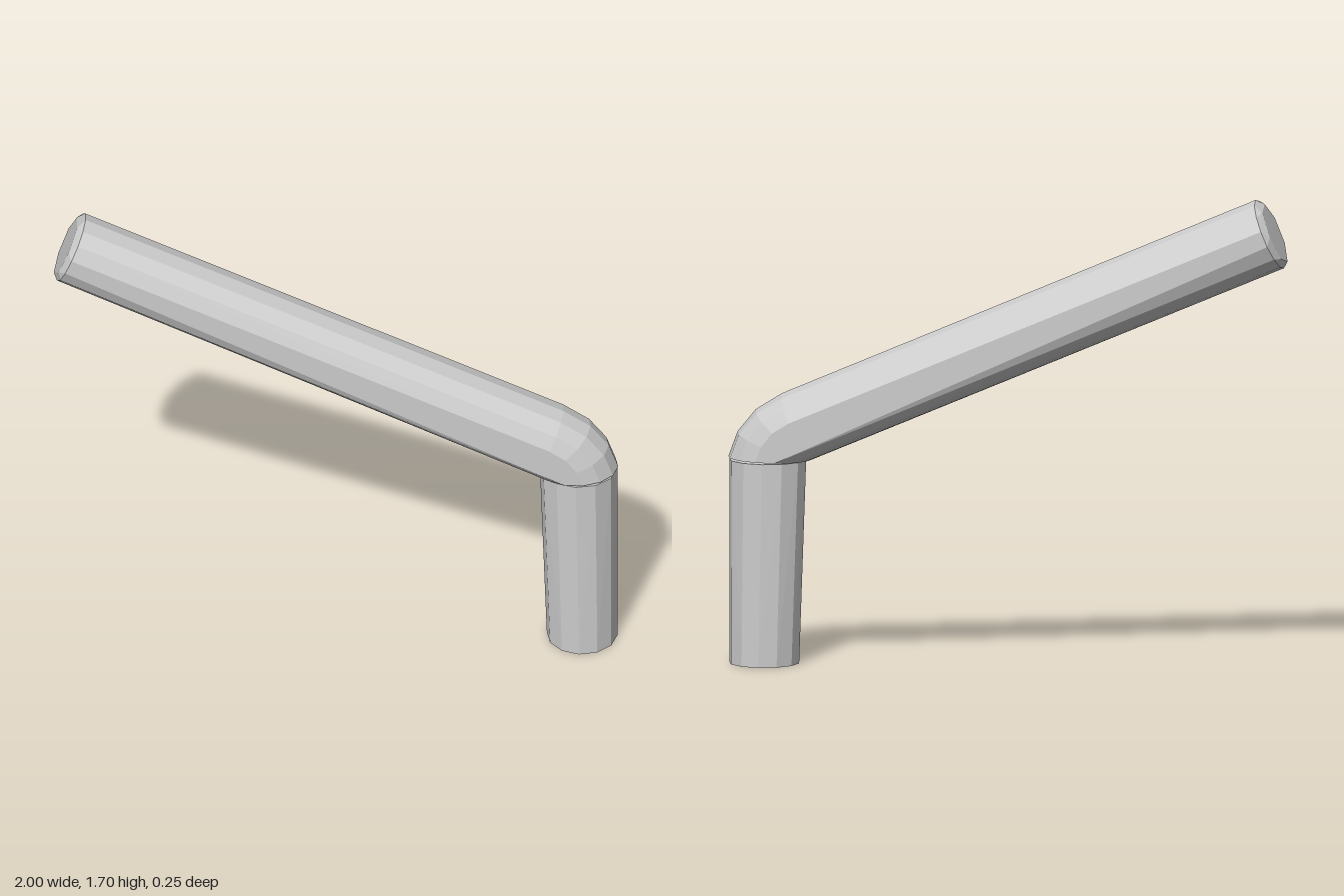
import * as THREE from 'three';
import { ConvexGeometry } from 'three/addons/geometries/ConvexGeometry.js';

const HALF_WIDTH = 0.127;

// Elliptical cross-section spanning two points of the x/y profile.
function section(inner, outer, halfWidth = HALF_WIDTH, sides = 14, turn = 0) {
  const a = new THREE.Vector2(...inner);
  const b = new THREE.Vector2(...outer);
  const points = [];
  for (let i = 0; i < sides; i++) {
    const angle = (i / sides) * Math.PI * 2 + turn;
    const p = a.clone().lerp(b, 0.5 + 0.5 * Math.cos(angle));
    points.push(new THREE.Vector3(p.x, p.y, halfWidth * Math.sin(angle)));
  }
  return points;
}

function solid(name, sections) {
  const material = new THREE.MeshStandardMaterial({ color: 0xcccccc, flatShading: true });
  const mesh = new THREE.Mesh(new ConvexGeometry(sections.flat()), material);
  mesh.name = name;
  return mesh;
}

export function createModel() {
  const group = new THREE.Group();
  group.name = 'bentPipe';

  // Upright post, widening slightly towards the bend
  group.add(solid('post', [
    section([0.745, 0], [0.995, 0], HALF_WIDTH, 12),
    section([0.72, 0.727], [0.995, 0.727], HALF_WIDTH, 12),
  ]));

  // Sloping arm with a bevelled tip and a faceted elbow
  group.add(solid('arm', [
    section([-1.0, 1.478], [-0.915, 1.685], 0.105, 7, 0.25), // tip face
    section([-0.99, 1.459], [-0.888, 1.7]),
    section([0.698, 0.735], [0.805, 0.965]),
    section([0.699, 0.733], [0.9, 0.905]),
    section([0.7, 0.731], [0.965, 0.825]),
    section([0.701, 0.729], [0.998, 0.735]), // seat on the post
  ]));

  return group;
}
